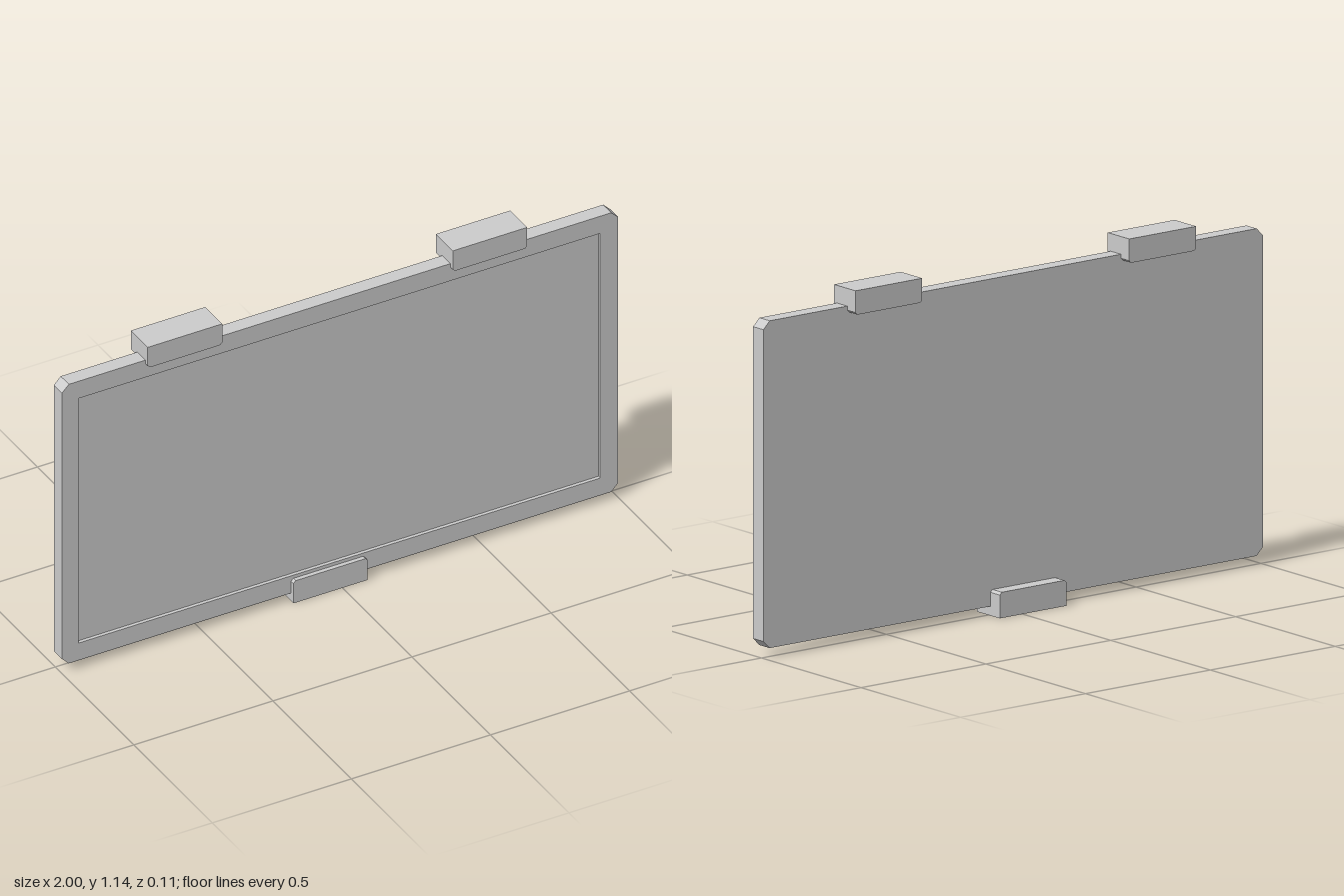
import * as THREE from 'three';

const material = new THREE.MeshStandardMaterial({ color: 0xcccccc, flatShading: true });

// Closed outline from a list of [x, y] corners
function outline(points, Type = THREE.Shape) {
  return new Type(points.map(([x, y]) => new THREE.Vector2(x, y)));
}

// Flat plate extruded from z0 to z1
function plate(name, shape, z0, z1) {
  const geometry = new THREE.ExtrudeGeometry(shape, { depth: z1 - z0, bevelEnabled: false });
  geometry.translate(0, 0, z0);
  const mesh = new THREE.Mesh(geometry, material);
  mesh.name = name;
  return mesh;
}

// Rectangle with all four corners cut off
function cutRectangle(x0, x1, y0, y1, c) {
  return outline([
    [x0 + c, y0], [x1 - c, y0], [x1, y0 + c], [x1, y1 - c],
    [x1 - c, y1], [x0 + c, y1], [x0, y1 - c], [x0, y0 + c],
  ]);
}

// Clip block whose two corners on the panel side are cut off
function clip(name, x0, x1, outerY, innerY, zBack) {
  const c = 0.008, s = Math.sign(innerY - outerY);
  const corners = [
    [x0, outerY], [x1, outerY], [x1, innerY - s * c],
    [x1 - c, innerY], [x0 + c, innerY], [x0, innerY - s * c],
  ];
  return plate(name, outline(corners), zBack, 0.057);
}

export function createModel() {
  const model = new THREE.Group();
  model.name = 'framedPanel';

  const zBack = -0.01, zScreen = 0.03, zFront = 0.042;

  // Solid back with a raised border around the recessed screen
  const board = [-1, 1, 0.03, 1.085, 0.025];
  model.add(plate('panel', cutRectangle(...board), zBack, zScreen));
  const border = cutRectangle(...board);
  border.holes.push(outline([[-0.94, 0.095], [-0.94, 1.02], [0.935, 1.02], [0.935, 0.095]], THREE.Path));
  model.add(plate('border', border, zScreen, zFront));

  // Two clips along the top edge and one on the bottom edge
  model.add(clip('topRightClip', -0.7, -0.432, 1.142, 1.064, -0.051));
  model.add(clip('topLeftClip', 0.397, 0.664, 1.142, 1.064, -0.051));
  model.add(clip('bottomClip', -0.176, 0.091, 0, 0.083, -0.057));

  return model;
}
